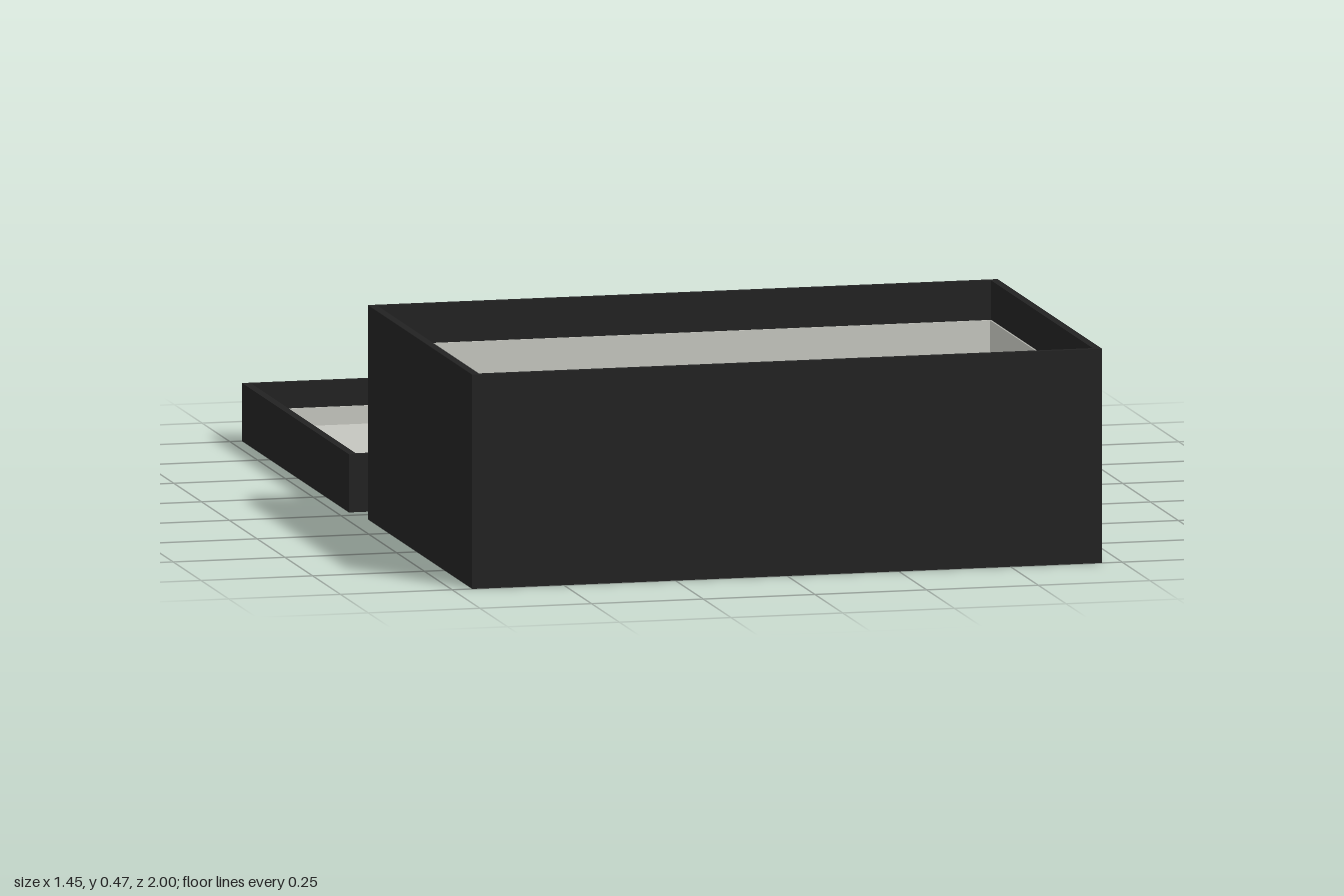
import * as THREE from 'three';

const shell = new THREE.MeshStandardMaterial({ color: 0x222222 });
shell.name = 'black card';
const lining = new THREE.MeshStandardMaterial({ color: 0xc4c5be });
lining.name = 'pale grey lining';

function block(name, material, size, position) {
  const mesh = new THREE.Mesh(new THREE.BoxGeometry(...size), material);
  mesh.name = name;
  mesh.position.set(...position);
  return mesh;
}

// Rectangle outline centred on the origin, added to a shape or a hole path
function rectangle(path, w, d) {
  return path.moveTo(-w / 2, -d / 2).lineTo(w / 2, -d / 2)
    .lineTo(w / 2, d / 2).lineTo(-w / 2, d / 2).closePath();
}

// Open tray: dark walls and base, lined inside up to liningTop
function tray(name, { width, depth, height, wallX, wallZ, floor, liningTop }) {
  const group = new THREE.Group();
  group.name = name;
  const innerW = width - 2 * wallX;
  const innerD = depth - 2 * wallZ;
  const skin = 0.003;

  // Four walls as one extruded frame
  const outline = rectangle(new THREE.Shape(), width, depth);
  outline.holes.push(rectangle(new THREE.Path(), innerW, innerD));
  const frame = new THREE.ExtrudeGeometry(outline, { depth: height, bevelEnabled: false });
  frame.rotateX(-Math.PI / 2);
  const walls = new THREE.Mesh(frame, shell);
  walls.name = name + 'Walls';
  group.add(walls);

  // Base slab and the lining on top of it
  const baseH = floor - skin;
  group.add(block(name + 'Base', shell, [innerW, baseH, innerD], [0, baseH / 2, 0]));
  group.add(block(name + 'FloorLining', lining, [innerW, skin, innerD], [0, floor - skin / 2, 0]));

  // Side linings, leaving a dark band below the rim
  const h = liningTop - floor;
  const y = floor + h / 2;
  for (const s of [-1, 1]) {
    group.add(block(name + 'SideLining', lining, [skin, h, innerD], [s * (innerW - skin) / 2, y, 0]));
    group.add(block(name + 'EndLining', lining, [innerW - 2 * skin, h, skin], [0, y, s * (innerD - skin) / 2]));
  }
  return group;
}

export function createModel() {
  const model = new THREE.Group();
  model.name = 'boxWithLid';

  const box = tray('box', {
    width: 1.41, depth: 0.94, height: 0.472, wallX: 0.018, wallZ: 0.013, floor: 0.05, liningTop: 0.385,
  });
  box.position.z = 0.53;

  // The lid lies upturned behind the box
  const lid = tray('lid', {
    width: 1.446, depth: 0.963, height: 0.128, wallX: 0.018, wallZ: 0.012, floor: 0.03, liningTop: 0.07,
  });
  lid.position.z = -0.5185;

  model.add(box, lid);
  return model;
}
